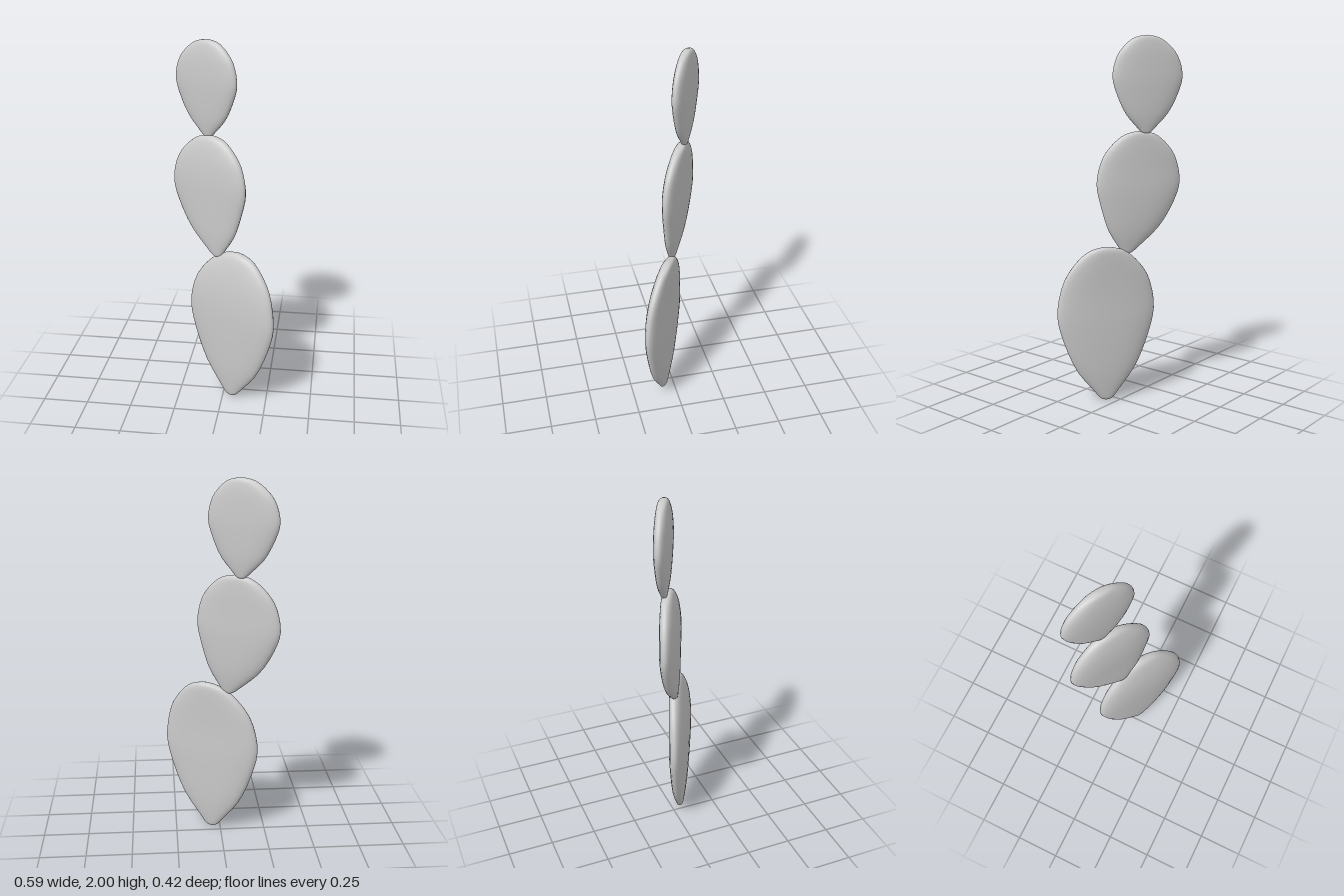
import * as THREE from 'three';
import { mergeVertices } from 'three/addons/utils/BufferGeometryUtils.js';

// Teardrop outline: half width (0..1) against height (0..1), widest at 0.6
const WIDEST = 0.6;
const outline = new THREE.SplineCurve([
  [0, 0], [0.12, 0.012], [0.25, 0.06], [0.63, 0.22], [0.91, 0.44], [1, WIDEST],
  [0.88, 0.78], [0.63, 0.9], [0.34, 0.975], [0, 1],
].map(([r, t]) => new THREE.Vector2(r, t))).getPoints(28)
  .map((p) => new THREE.Vector2(Math.max(p.x, 0), THREE.MathUtils.clamp(p.y, 0, 1)));

const TURN = THREE.MathUtils.degToRad(30);
const soften = (v) => Math.sign(v) * Math.abs(v) ** 0.88;

// Flattened pad; tip and peak are [x, z] shifts of the two ends from the middle
function makePad({ name, y0, y1, mid, width, depth, tip, peak }, material) {
  let geo = new THREE.LatheGeometry(outline, 28);
  geo.deleteAttribute('uv');
  geo.deleteAttribute('normal');
  geo = mergeVertices(geo, 1e-5);
  const pos = geo.attributes.position;
  const p = new THREE.Vector3();
  for (let i = 0; i < pos.count; i++) {
    p.fromBufferAttribute(pos, i);
    const t = p.y;
    const r = Math.hypot(p.x, p.z);
    const a = r > 1e-6 ? soften(p.x / r) * r * width : 0;
    const b = r > 1e-6 ? soften(p.z / r) * Math.sqrt(r) * depth : 0;
    const low = Math.max(0, 1 - t / WIDEST) ** 2;
    const high = Math.max(0, (t - WIDEST) / (1 - WIDEST)) ** 2;
    pos.setXYZ(
      i,
      mid[0] + a * Math.cos(TURN) - b * Math.sin(TURN) + tip[0] * low + peak[0] * high,
      y0 + t * (y1 - y0),
      mid[1] + a * Math.sin(TURN) + b * Math.cos(TURN) + tip[1] * low + peak[1] * high,
    );
  }
  geo.computeVertexNormals();
  const mesh = new THREE.Mesh(geo, material);
  mesh.name = name;
  return mesh;
}

export function createModel() {
  const group = new THREE.Group();
  group.name = 'stackedPads';
  const material = new THREE.MeshStandardMaterial({ color: 0xcccccc, roughness: 0.8 });
  // Three pads growing out of each other, smaller towards the top
  const pads = [
    { name: 'lowerPad', y0: 0, y1: 0.88, mid: [0.047, 0.06], width: 0.283, depth: 0.05, tip: [0, 0], peak: [0.03, -0.02] },
    { name: 'middlePad', y0: 0.83, y1: 1.5, mid: [-0.09, -0.055], width: 0.242, depth: 0.046, tip: [0.05, 0.045], peak: [0.01, -0.015] },
    { name: 'upperPad', y0: 1.485, y1: 2, mid: [-0.11, -0.098], width: 0.2, depth: 0.04, tip: [0.01, 0.005], peak: [0.01, 0] },
  ];
  for (const pad of pads) group.add(makePad(pad, material));
  return group;
}
